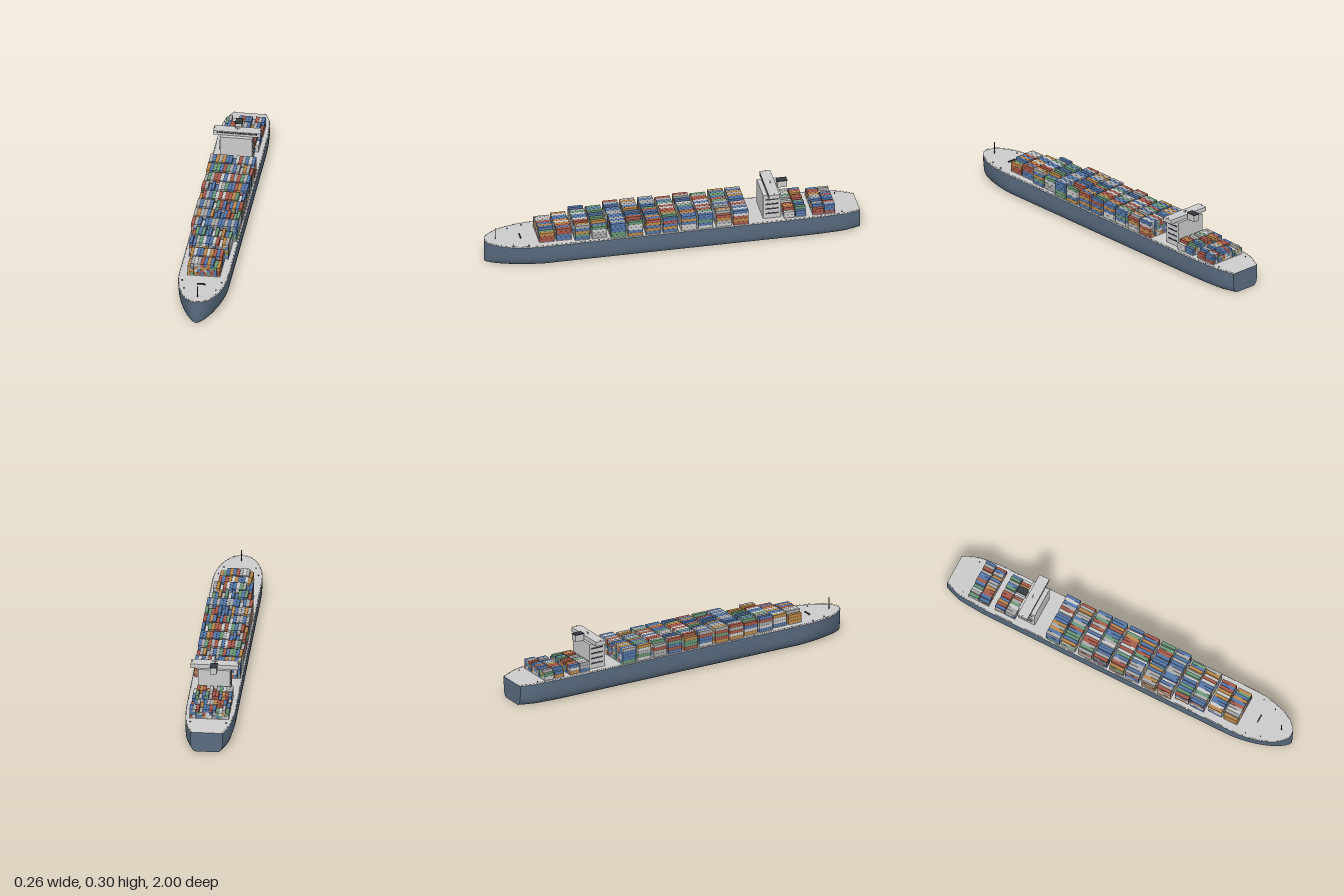
import * as THREE from 'three';
import { mergeGeometries, toCreasedNormals } from 'three/addons/utils/BufferGeometryUtils.js';

const mat = (color, side = THREE.FrontSide) => new THREE.MeshStandardMaterial({ color, side });
const GREY = mat(0xcccccc), DARK = mat(0x33383f), HULL = mat(0x5a6c80);

const DECK = 0.123, BEAM = 0.132;

// Hull stations from stern to bow: [z, half width at deck]
const stations = [[-1, 0.085], [-0.96, 0.102], [-0.92, 0.117], [-0.87, 0.124], [-0.77, 0.131], [-0.7, BEAM]];
for (let i = 0; i <= 7; i++) stations.push([-0.6 + i * 0.18, BEAM]);
for (let i = 0; i <= 18; i++) {
  const t = (i / 18) * 1.54;
  stations.push([0.7 + 0.3 * Math.sin(t), BEAM * Math.cos(t)]);
}
const deckY = z => (z < -0.87 ? DECK - ((-0.87 - z) / 0.13) * 0.011 : DECK);

// Half section: [fraction of half width, fraction of height]
const section = [[1, 1], [1, 0.75], [0.995, 0.52], [0.975, 0.32], [0.93, 0.18], [0.86, 0.08], [0.77, 0.02], [0.68, 0]];

function surface(rings, caps) {
  const n = rings[0].length, idx = [];
  for (let i = 0; i < rings.length - 1; i++)
    for (let j = 0; j < n - 1; j++) {
      const a = i * n + j, b = a + n;
      idx.push(a, b, a + 1, b, b + 1, a + 1);
    }
  if (caps) {
    const last = (rings.length - 1) * n;
    for (let j = 1; j < n - 1; j++) idx.push(0, j, j + 1, last, last + j + 1, last + j);
  }
  const g = new THREE.BufferGeometry();
  g.setAttribute('position', new THREE.Float32BufferAttribute(rings.flat(2), 3));
  g.setIndex(idx);
  return toCreasedNormals(g, 0.6);
}

function hullRings() {
  return stations.map(([z, w]) => {
    const bow = Math.max(0, (z - 0.7) / 0.3);
    const half = section.map(([f, v]) => [w * (f - 0.2 * bow * (1 - v)), v * deckY(z), z]);
    return [...half, ...half.slice().reverse().map(([x, y, zz]) => [-x, y, zz])];
  });
}

function add(parent, name, geometry, material, x = 0, y = 0, z = 0) {
  const m = new THREE.Mesh(geometry, material);
  m.name = name;
  m.position.set(x, y, z);
  parent.add(m);
  return m;
}
const box = (w, h, d, x = 0, y = 0, z = 0) => new THREE.BoxGeometry(w, h, d).translate(x, y, z);
const rod = (r, h, x, y, z) => new THREE.CylinderGeometry(r, r, h, 10).translate(x, y + h / 2, z);

function seeded(seed) {
  return () => (seed = (seed * 16807) % 2147483647) / 2147483647;
}

// Container stacks, merged by paint colour
function createContainers() {
  const group = new THREE.Group();
  group.name = 'containers';
  const paints = [0x5577aa, 0xaaaaaa, 0xa85a4a, 0x6a9878, 0xbb8a4c, 0x5577aa, 0xcccccc];
  const lots = paints.map(() => []);
  const rand = seeded(4711);
  const pitch = 0.0174, tier = 0.0168, base = DECK + 0.003;
  const covers = [];

  function row(z, length, columns, tiers, gaps) {
    covers.push(box(columns * pitch, 0.004, length, 0, DECK + 0.001, z));
    for (let c = 0; c < columns; c++) {
      const height = tiers - (rand() < gaps ? 1 : 0);
      for (let t = 0; t < height; t++) {
        const lot = lots[Math.floor(rand() * paints.length)];
        lot.push(box(pitch - 0.0008, tier - 0.0006, length,
          (c - (columns - 1) / 2) * pitch, base + (t + 0.5) * tier, z));
      }
    }
  }

  // Six bays forward of the house, two rows each
  for (let k = 0; k < 6; k++) {
    const z = 0.635 - 0.1885 * k;
    for (const s of [1, -1]) row(z + s * 0.0455, 0.08, [10, 12, 14][Math.min(k, 2)], k ? 5 : 4, 0.15);
  }
  // Two shorter bays aft
  for (const z of [-0.647, -0.802])
    for (const s of [1, -1]) row(z + s * 0.031, 0.057, 12, 3, 0.35);

  lots.forEach((lot, i) => add(group, 'containerLot' + (i + 1), mergeGeometries(lot), mat(paints[i])));
  add(group, 'hatchCovers', mergeGeometries(covers), GREY);
  return group;
}

// Deck house with bridge, windows and funnel
function createHouse() {
  const g = new THREE.Group();
  g.name = 'deckHouse';
  add(g, 'accommodation', box(0.17, 0.142, 0.096), GREY, 0, DECK + 0.069, -0.528);
  add(g, 'bridge', box(0.252, 0.024, 0.058), GREY, 0, 0.274, -0.532);

  const panes = [];
  for (let i = 0; i < 22; i++) panes.push(box(0.0086, 0.009, 0.002, (i - 10.5) * 0.0098, 0.278, -0.503));
  add(g, 'bridgeWindows', mergeGeometries(panes), DARK);

  const strips = [];
  for (const s of [1, -1])
    for (let i = 0; i < 4; i++) strips.push(box(0.002, 0.008, 0.07, s * 0.085, 0.152 + i * 0.028, -0.528));
  add(g, 'sideWindows', mergeGeometries(strips), DARK);

  for (const s of [1, -1]) add(g, 'wingLight', rod(0.0012, 0.007, s * 0.12, 0.285, -0.532), DARK);
  add(g, 'radarMast', rod(0.003, 0.008, 0, 0.285, -0.535), GREY);
  add(g, 'radarBar', box(0.024, 0.002, 0.003), GREY, 0, 0.294, -0.535);

  add(g, 'funnel', box(0.034, 0.036, 0.052), GREY, 0, 0.28, -0.596);
  add(g, 'funnelCap', box(0.038, 0.004, 0.056), DARK, 0, 0.3, -0.596);
  return g;
}

// Low rail following the deck edge, with posts
function createRail() {
  const g = new THREE.Group();
  g.name = 'rail';
  const edge = stations.slice(0, -1).map(([z, w]) => new THREE.Vector3(w - 0.004, deckY(z) + 0.005, z));
  const mirrored = edge.slice().reverse().map(p => new THREE.Vector3(-p.x, p.y, p.z));
  const curve = new THREE.CatmullRomCurve3([...edge, ...mirrored], false, 'centripetal');
  add(g, 'handRail', new THREE.TubeGeometry(curve, 200, 0.0006, 4), GREY);
  const posts = curve.getSpacedPoints(90).map(p => box(0.0015, 0.006, 0.0015, p.x, p.y - 0.003, p.z));
  add(g, 'railPosts', mergeGeometries(posts), DARK);
  return g;
}

export function createModel() {
  const ship = new THREE.Group();
  ship.name = 'containerShip';

  add(ship, 'hull', surface(hullRings(), true), HULL);
  const deckRings = stations.map(([z, w]) => [[-w, deckY(z), z], [w, deckY(z), z]]);
  add(ship, 'deck', surface(deckRings, false), mat(0xcccccc, THREE.DoubleSide));

  ship.add(createContainers(), createHouse(), createRail());

  // Foredeck fittings
  add(ship, 'foremast', rod(0.0025, 0.064, 0, DECK, 0.94), DARK);
  add(ship, 'windlass', box(0.046, 0.006, 0.006), DARK, 0, DECK + 0.003, 0.808);
  const bollards = [];
  for (const s of [1, -1])
    for (const [x, z] of [[0.085, 0.86], [0.105, 0.78], [0.095, -0.9]]) bollards.push(rod(0.003, 0.005, s * x, deckY(z), z));
  add(ship, 'bollards', mergeGeometries(bollards), DARK);

  return ship;
}
